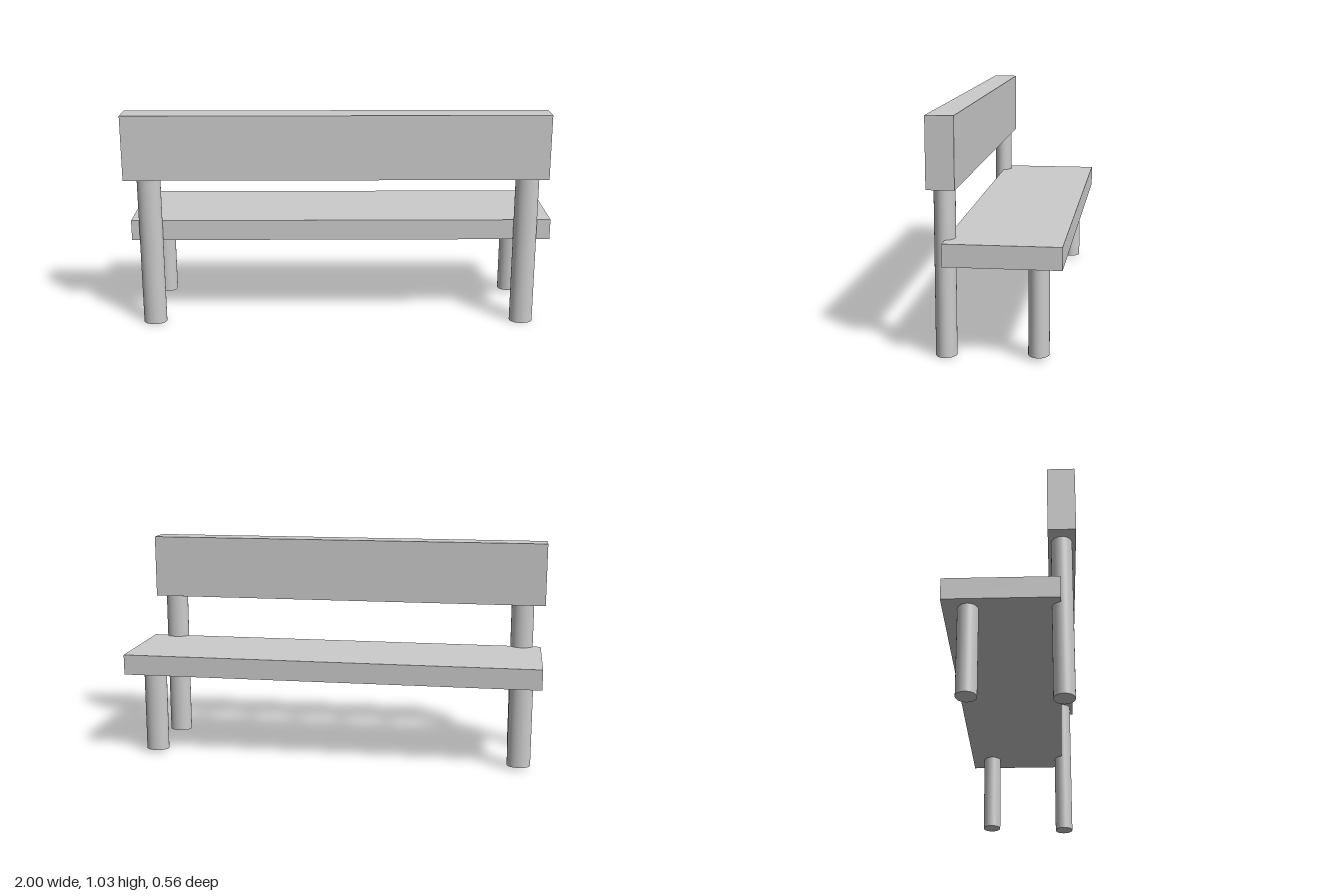
import * as THREE from 'three';

const material = new THREE.MeshStandardMaterial({ color: 0xcccccc });

// Plank given by its two opposite corners
function plank(name, [x0, y0, z0], [x1, y1, z1]) {
  const mesh = new THREE.Mesh(new THREE.BoxGeometry(x1 - x0, y1 - y0, z1 - z0), material);
  mesh.position.set((x0 + x1) / 2, (y0 + y1) / 2, (z0 + z1) / 2);
  mesh.name = name;
  return mesh;
}

// Slightly oval post, wider along x than along z
function post(name, x, z, y0, y1) {
  const geometry = new THREE.CylinderGeometry(1, 1, y1 - y0, 32);
  geometry.scale(0.055, 1, 0.045);
  const mesh = new THREE.Mesh(geometry, material);
  mesh.position.set(x, (y0 + y1) / 2, z);
  mesh.name = name;
  return mesh;
}

export function createModel() {
  const bench = new THREE.Group();
  bench.name = 'bench';

  // Seat and backrest, slightly offset from each other
  bench.add(plank('seat', [-0.985, 0.41, -0.28], [1, 0.507, 0.213]));
  bench.add(plank('backrest', [-1, 0.722, 0.162], [0.97, 1.026, 0.281]));

  // Tall posts carry the backrest, short legs carry the seat
  for (const [side, x] of [['right', -0.891], ['left', 0.879]]) {
    bench.add(post(side + 'BackrestPost', x, 0.22, 0, 0.722));
    bench.add(post(side + 'SeatLeg', x, -0.173, 0.015, 0.41));
  }
  return bench;
}
